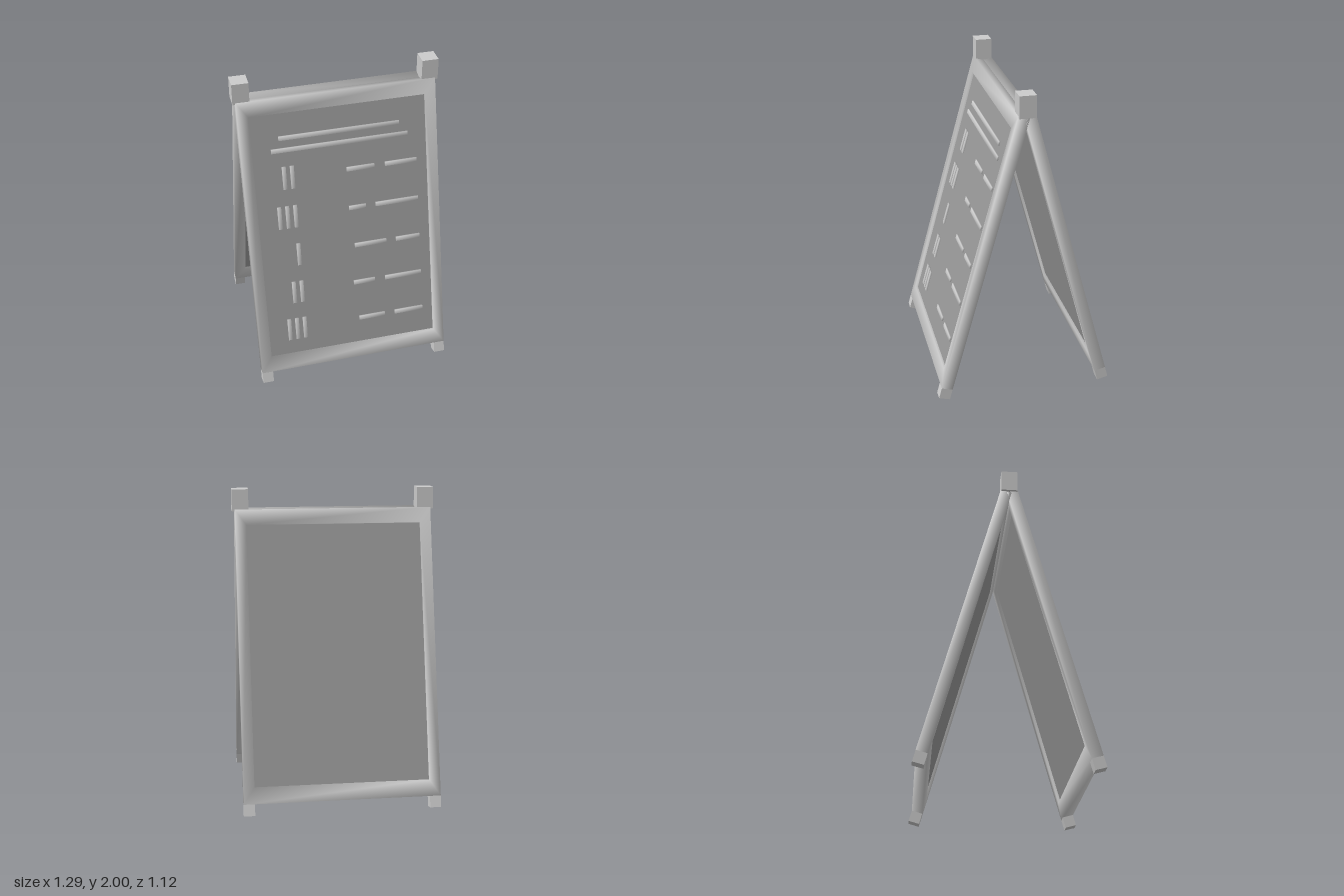
import * as THREE from 'three';
import { mergeVertices } from 'three/addons/utils/BufferGeometryUtils.js';

const TILT = Math.atan2(0.505, 1.848);
const PIVOT_Y = 1.86, PIVOT_Z = 0.02;
const HALF_W = 0.627, INNER_HALF_W = 0.557;
const TOP = 0.004, BOTTOM = -1.845, FOOT_END = -1.918;
const OPEN_TOP = -0.093, OPEN_BOTTOM = -1.741;
const DEPTH = 0.072, PANEL_DEPTH = 0.038;

// Welds corners so that the shading runs softly across the edges
function softened(geometry) {
  geometry.deleteAttribute('normal');
  geometry.deleteAttribute('uv');
  const welded = mergeVertices(geometry);
  welded.computeVertexNormals();
  return welded;
}

function rectangle(path, hw, y0, y1) {
  path.moveTo(-hw, y0).lineTo(hw, y0).lineTo(hw, y1).lineTo(-hw, y1).closePath();
  return path;
}

export function createModel() {
  const model = new THREE.Group();
  model.name = 'sandwichBoard';
  const frameMat = new THREE.MeshStandardMaterial({ color: 0xcccccc });
  const panelMat = new THREE.MeshStandardMaterial({ color: 0x979797 });

  function add(parent, name, geometry, x, y, z, mat = frameMat) {
    const mesh = new THREE.Mesh(geometry, mat);
    mesh.name = name;
    mesh.position.set(x, y, z);
    parent.add(mesh);
  }

  // One leaning leaf: a frame of legs and rails, two feet and a recessed panel
  function leaf(name) {
    const g = new THREE.Group();
    g.name = name;
    const outline = rectangle(new THREE.Shape(), HALF_W, BOTTOM, TOP);
    outline.holes.push(rectangle(new THREE.Path(), INNER_HALF_W, OPEN_BOTTOM, OPEN_TOP));
    const frame = new THREE.ExtrudeGeometry(outline, { depth: DEPTH, bevelEnabled: false });
    add(g, 'frame', softened(frame), 0, 0, -DEPTH / 2);
    for (const s of [-1, 1]) {
      add(g, s > 0 ? 'leftFoot' : 'rightFoot',
        new THREE.BoxGeometry(HALF_W - INNER_HALF_W, BOTTOM - FOOT_END, DEPTH),
        s * (HALF_W + INNER_HALF_W) / 2, (BOTTOM + FOOT_END) / 2, 0);
    }
    add(g, 'panel', new THREE.BoxGeometry(INNER_HALF_W * 2, OPEN_TOP - OPEN_BOTTOM, PANEL_DEPTH),
      0, (OPEN_TOP + OPEN_BOTTOM) / 2, 0, panelMat);
    g.position.set(0, PIVOT_Y, PIVOT_Z);
    g.rotation.x = -TILT;
    return g;
  }

  const front = leaf('frontLeaf');
  model.add(front);

  // The back leaf is the same, turned half way round
  const back = new THREE.Group();
  back.name = 'backHalf';
  back.rotation.y = Math.PI;
  back.add(leaf('backLeaf'));
  model.add(back);

  // Raised menu bars on the front panel, placed by height above the ground
  const BAR = 0.028, BAR_DEPTH = 0.012;
  const alongPanel = (y) => (y - PIVOT_Y - 0.0066) / Math.cos(TILT);
  const bar = (name, x0, x1, y, h = BAR) =>
    add(front, name, softened(new THREE.BoxGeometry(x1 - x0, h, BAR_DEPTH)),
      (x0 + x1) / 2, alongPanel(y), PANEL_DEPTH / 2 + BAR_DEPTH / 2 - 0.001);

  bar('titleBar', -0.385, 0.385, 1.62);
  bar('titleBar', -0.437, 0.437, 1.545);

  // Each row: number of upright strokes, then the ends of its two dashes
  const rows = [
    [2, 0.03, 0.21, 0.28],
    [3, 0.03, 0.14, 0.205],
    [1, 0.052, 0.263, 0.328],
    [2, 0.03, 0.173, 0.242],
    [3, 0.052, 0.227, 0.295],
  ];
  rows.forEach(([strokes, a, b, c], i) => {
    const y = 1.369 - i * 0.253;
    for (let k = 0; k < strokes; k++) {
      const x = -0.316 - k * 0.051;
      bar('stroke', x - 0.0125, x + 0.0125, y, 0.15);
    }
    bar('dash', a, b, y);
    bar('dash', c, 0.488, y);
  });

  // Blocks joining the two leaves at the top
  for (const s of [-1, 1]) {
    add(model, s > 0 ? 'leftTopBlock' : 'rightTopBlock',
      new THREE.BoxGeometry(0.104, 0.138, 0.104), s * 0.592, 1.931, 0);
  }
  return model;
}
